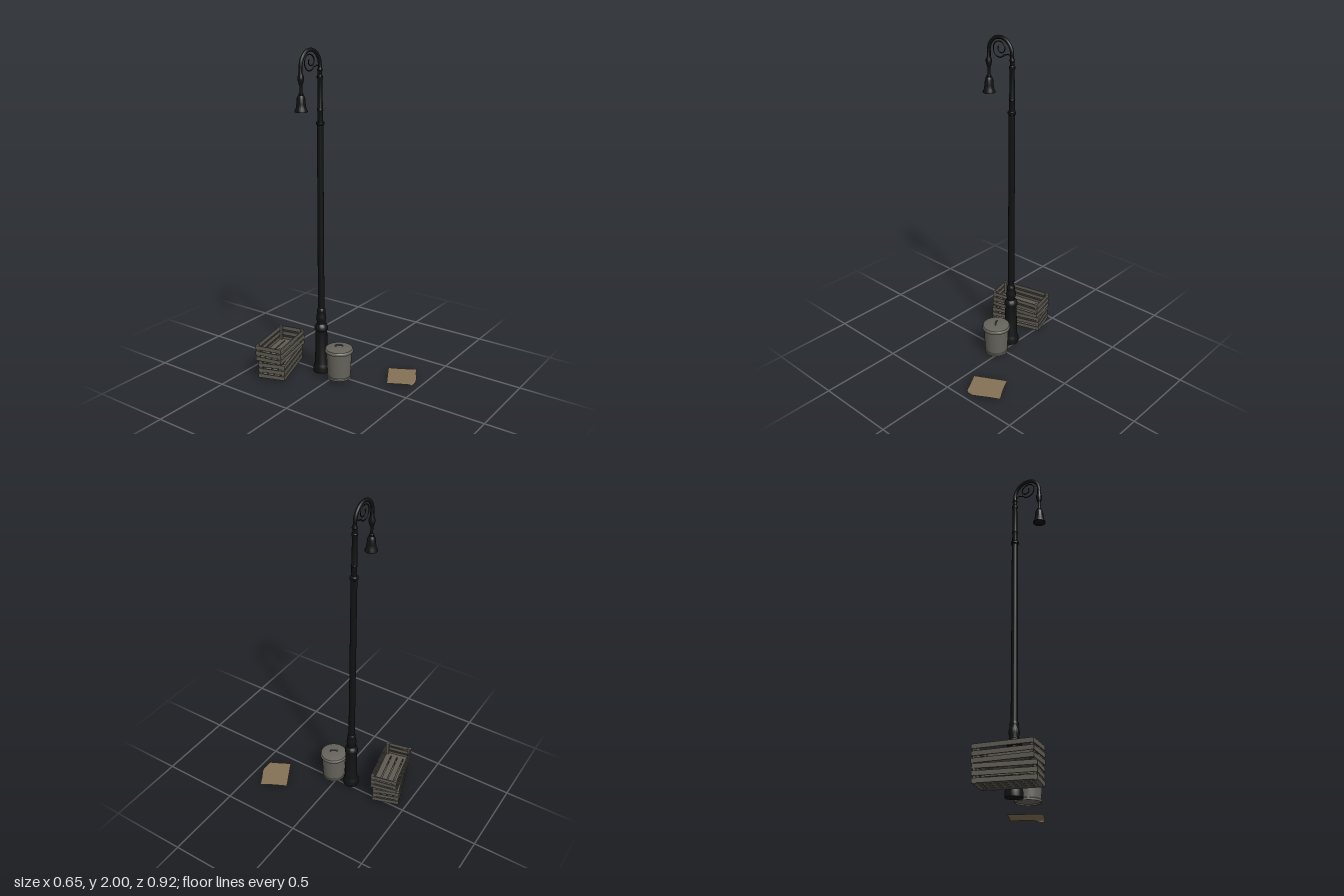
import * as THREE from 'three';
import { toCreasedNormals } from 'three/addons/utils/BufferGeometryUtils.js';

const mat = (name, color, side = THREE.FrontSide) => {
  const m = new THREE.MeshStandardMaterial({ color, side });
  m.name = name;
  return m;
};

export function createModel() {
  const iron = mat('black iron', 0x111213);
  const wood = mat('weathered wood', 0x5f5b52);
  const tin = mat('dull tin', 0x65635b);
  const card = mat('brown paper', 0x847055, THREE.DoubleSide);

  const model = new THREE.Group();
  model.name = 'streetCorner';

  const add = (parent, name, geometry, material, x = 0, y = 0, z = 0) => {
    const mesh = new THREE.Mesh(geometry, material);
    mesh.name = name;
    mesh.position.set(x, y, z);
    parent.add(mesh);
    return mesh;
  };
  // Revolve [radius, y] pairs, listed bottom to top
  const lathe = (pts, sides = 32) => toCreasedNormals(
    new THREE.LatheGeometry(pts.map(([r, y]) => new THREE.Vector2(r, y)), sides), 0.6);
  const group = (name, x, y, z) => {
    const g = new THREE.Group();
    g.name = name;
    g.position.set(x, y, z);
    model.add(g);
    return g;
  };

  // Street lamp
  const lamp = group('streetLamp', -0.024, 0, -0.098);
  add(lamp, 'lampBase', lathe([
    [0, 0.015], [0.05, 0.015], [0.05, 0.045], [0.046, 0.06], [0.04, 0.075], [0.036, 0.29],
    [0.042, 0.295], [0.042, 0.31], [0.036, 0.325], [0.027, 0.335], [0.026, 0.345],
    [0.031, 0.365], [0.03, 0.385], [0.024, 0.405], [0.026, 0.415], [0.026, 0.425], [0.02, 0.435]]), iron);
  add(lamp, 'lampShaft', lathe([[0.02, 0.43], [0.0185, 1.565]], 16), iron);
  add(lamp, 'upperShaft', lathe([
    [0.018, 1.56], [0.024, 1.565], [0.024, 1.578], [0.016, 1.585], [0.016, 1.64], [0.019, 1.648],
    [0.016, 1.656], [0.014, 1.82], [0.018, 1.828], [0.018, 1.838], [0.013, 1.845], [0.013, 1.865],
    [0.017, 1.872], [0.011, 1.885], [0.011, 1.9]]), iron);

  // Half-round arm reaching sideways to the hanging shade
  const arm = new THREE.TorusGeometry(0.088, 0.011, 12, 40, Math.PI);
  add(lamp, 'lampArm', arm, iron, -0.088, 1.9, 0);
  add(lamp, 'hangingShade', lathe([
    [0, 1.668], [0.03, 1.664], [0.037, 1.656], [0.037, 1.662], [0.03, 1.675], [0.026, 1.7],
    [0.024, 1.73], [0.018, 1.745], [0.014, 1.748], [0.014, 1.756], [0.008, 1.762], [0.008, 1.8],
    [0.012, 1.81], [0.018, 1.832], [0.018, 1.848], [0.011, 1.865], [0.011, 1.9]]), iron, -0.176);

  // Scroll: leaves the shaft, runs round a loop and curls inward
  const scroll = [[-0.005, 1.87], [-0.014, 1.893], [-0.028, 1.901], [-0.044, 1.896]];
  for (let i = 0; i <= 26; i++) {
    const a = -0.6 - i * 0.33;
    const r = i < 17 ? 0.045 : 0.045 - (i - 16) * 0.0038;
    scroll.push([-0.096 + Math.cos(a) * r, 1.919 + (i < 17 ? 0 : (i - 16) * 0.0015) + Math.sin(a) * r]);
  }
  const scrollPath = new THREE.CatmullRomCurve3(scroll.map(([x, y]) => new THREE.Vector3(x, y, 0)));
  add(lamp, 'scroll', new THREE.TubeGeometry(scrollPath, 110, 0.0032, 6), iron);
  add(lamp, 'scrollTip', new THREE.SphereGeometry(0.005, 10, 8), iron, ...scroll.at(-1), 0);

  // Rubbish bin with domed lid
  const bin = group('rubbishBin', -0.027, 0, 0.038);
  add(bin, 'binBody', lathe([
    [0, 0.022], [0.069, 0.022], [0.07, 0.015], [0.074, 0.015], [0.074, 0.028], [0.071, 0.031],
    [0.078, 0.185], [0.081, 0.188]], 40), tin);
  add(bin, 'binLid', lathe([
    [0.08, 0.186], [0.087, 0.186], [0.088, 0.19], [0.087, 0.2], [0.082, 0.206], [0.06, 0.212],
    [0.03, 0.215], [0, 0.216]], 40), tin);
  const handle = new THREE.CatmullRomCurve3([[-0.021, 0.212], [-0.019, 0.223], [0.019, 0.223], [0.021, 0.212]]
    .map(([x, y]) => new THREE.Vector3(x, y, 0)));
  add(bin, 'lidHandle', new THREE.TubeGeometry(handle, 20, 0.004, 6), tin).rotation.y = -1.05;

  // Open slatted crates, stacked at slightly different angles
  const L = 0.335, W = 0.17, H = 0.105, T = 0.006;
  const crate = (name, x, y, z, turn) => {
    const g = group(name, x, y, z);
    g.rotation.y = turn;
    const box = (part, w, h, d, ...p) => add(g, part, new THREE.BoxGeometry(w, h, d), wood, ...p);
    for (let i = 0; i < 4; i++) box('floorPlank', L - 0.012, 0.006, 0.034, 0, 0.009, (i - 1.5) * 0.041);
    for (const s of [-1, 1]) {
      box('floorCleat', 0.022, 0.008, W - 0.012, s * (L / 2 - 0.017), 0.008, 0);
      for (let i = 0; i < 3; i++) {
        const h = 0.016 + i * 0.0365;
        box('sideSlat', L, 0.025, T, 0, h, s * (W / 2 - T / 2));
        box('endSlat', T, 0.025, W - 2 * T, s * (L / 2 - T / 2), h, 0);
      }
      for (const e of [-1, 1])
        box('cornerPost', 0.015, H - 0.006, 0.015, s * (L / 2 - 0.0135), H / 2 - 0.001, e * (W / 2 - 0.0135));
    }
  };
  crate('lowerCrate', -0.143, 0.015, -0.327, 0.326);
  crate('upperCrate', -0.142, 0.121, -0.329, 0.212);

  // Paper sheet whose front corner curls under
  const [back, left, right] = [[0.242, 0.23], [0.057, 0.33], [0.325, 0.385]];
  const sheet = new THREE.PlaneGeometry(1, 1, 30, 30);
  const pos = sheet.attributes.position;
  for (let i = 0; i < pos.count; i++) {
    const u = pos.getX(i) + 0.5, v = 0.5 - pos.getY(i);
    const at = k => back[k] + u * (right[k] - back[k]) + v * (left[k] - back[k]);
    const bow = Math.sin(u * Math.PI) * 0.004 * (1 - v);
    let z = at(1) + bow * 0.5, y = 0.018;
    const fold = 0.447, r = 0.009;
    if (z > fold) {
      const a = Math.min(Math.PI, (z - fold) * 0.75 / r);
      z = fold + 0.004 + r * Math.sin(a);
      y -= r * (1 - Math.cos(a));
    } else if (z > fold - 0.03) z += 0.004 * (z - fold + 0.03) / 0.03;
    pos.setXYZ(i, at(0) - bow, y, z);
  }
  // Turn the sheet's faces upward
  const idx = sheet.index.array;
  for (let i = 0; i < idx.length; i += 3) [idx[i], idx[i + 1]] = [idx[i + 1], idx[i]];
  sheet.computeVertexNormals();
  if (sheet.attributes.normal.getY(0) < 0) {
    for (let i = 0; i < idx.length; i += 3) [idx[i], idx[i + 1]] = [idx[i + 1], idx[i]];
    sheet.computeVertexNormals();
  }
  add(model, 'paperSheet', sheet, card);

  return model;
}
